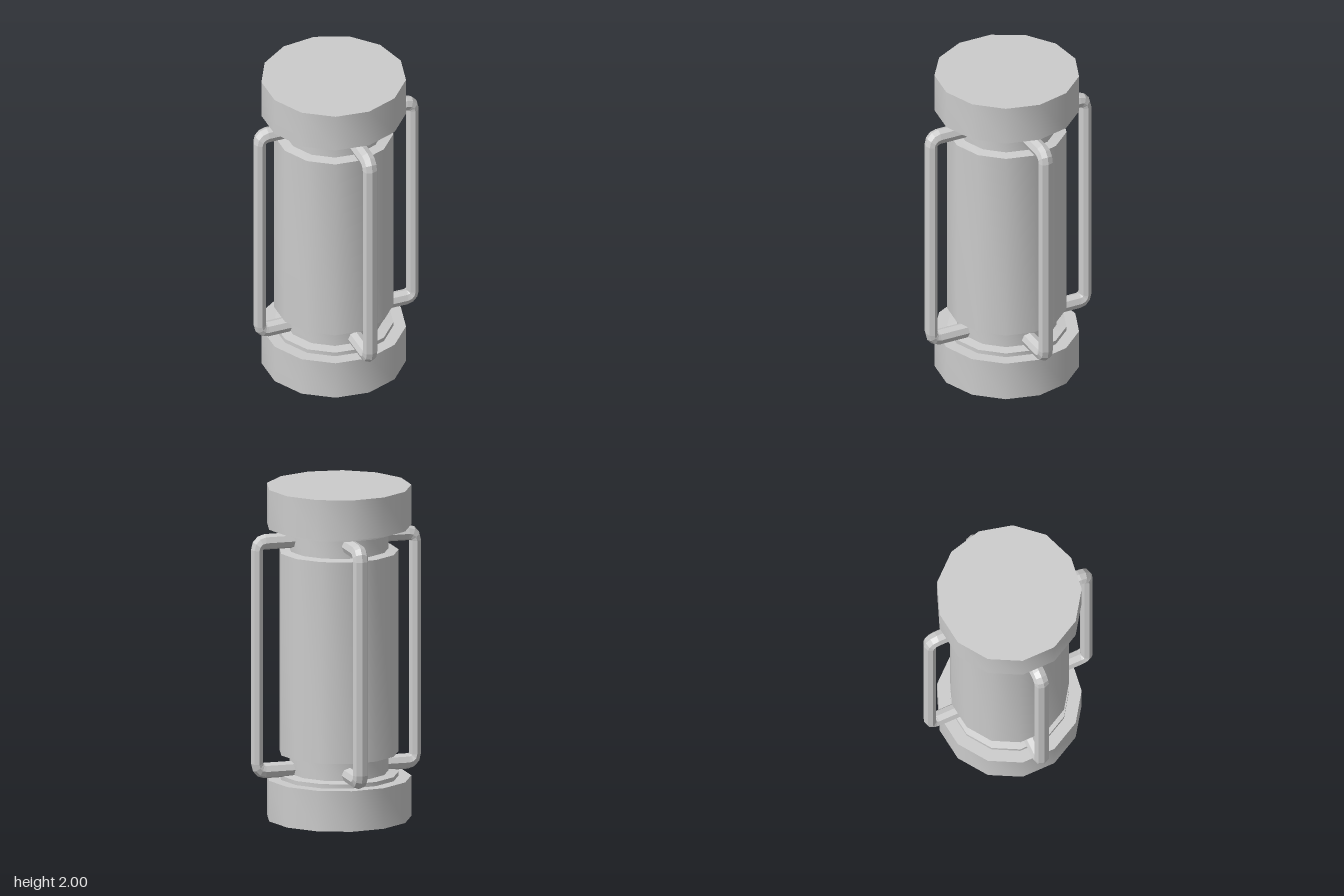
import * as THREE from 'three';
import { toCreasedNormals } from 'three/addons/utils/BufferGeometryUtils.js';

const SIDES = 13;
const material = new THREE.MeshStandardMaterial({ color: 0xcccccc });
const barMaterial = new THREE.MeshStandardMaterial({ color: 0xcccccc, flatShading: true });

// Thirteen-sided turned part from [radius, y] points, bottom to top
function turned(name, points) {
  const profile = points.map(([r, y]) => new THREE.Vector2(r, y));
  const geometry = new THREE.LatheGeometry(profile, SIDES, Math.PI / 2);
  const mesh = new THREE.Mesh(toCreasedNormals(geometry, 0.6), material);
  mesh.name = name;
  return mesh;
}

// Bracket-shaped octagonal bar that reaches out along +x and runs down the body
function guardBar(name, reach) {
  const top = 1.69, bottom = 0.31, inner = 0.24, bend = 0.045;
  const radius = 0.047, depth = 0.79, n = 8, steps = 3;
  const rings = [[inner, top, 0]];
  for (const [y, start] of [[top - bend, 0], [bottom + bend, Math.PI / 2]]) {
    for (let i = 0; i <= steps; i++) {
      const turn = start + (i / steps) * Math.PI / 2;
      rings.push([reach - bend + bend * Math.sin(turn), y + bend * Math.cos(turn), turn]);
    }
  }
  rings.push([inner, bottom, Math.PI]);

  const positions = [], index = [];
  rings.forEach(([x, y, turn], r) => {
    for (let j = 0; j < n; j++) {
      const a = (j / n) * Math.PI * 2;
      const out = radius * Math.cos(a);
      positions.push(x + out * Math.sin(turn) * depth, y + out * Math.cos(turn), radius * Math.sin(a));
      if (r < rings.length - 1) {
        const p = r * n + j, q = r * n + (j + 1) % n;
        index.push(p, q, p + n, q, q + n, p + n);
      }
    }
  });
  const geometry = new THREE.BufferGeometry();
  geometry.setAttribute('position', new THREE.Float32BufferAttribute(positions, 3));
  geometry.setIndex(index);
  geometry.computeVertexNormals();
  const mesh = new THREE.Mesh(geometry, barMaterial);
  mesh.name = name;
  return mesh;
}

export function createModel() {
  const model = new THREE.Group();
  model.name = 'canister';

  // Turned core: end caps, collars, necks and central drum
  const core = new THREE.Group();
  core.name = 'core';
  core.position.set(-0.02, 0, -0.004);
  core.add(
    turned('bottomCap', [[0, 0], [0.43, 0], [0.43, 0.245], [0, 0.245]]),
    turned('bottomCollar', [[0.355, 0.24], [0.355, 0.27], [0.28, 0.28]]),
    turned('bottomNeck', [[0.295, 0.26], [0.295, 0.4]]),
    turned('drum', [[0.28, 0.382], [0.355, 0.393], [0.355, 1.61], [0.28, 1.621]]),
    turned('topNeck', [[0.295, 1.6], [0.295, 1.74]]),
    turned('topCollar', [[0.28, 1.725], [0.355, 1.735], [0.355, 1.765]]),
    turned('topCap', [[0, 1.76], [0.43, 1.76], [0.43, 2], [0, 2]])
  );
  model.add(core);

  // Four guard bars, a quarter turn apart
  ['leftBar', 'backBar', 'rightBar', 'frontBar'].forEach((name, i) => {
    const bar = guardBar(name, i % 2 ? 0.508 : 0.488);
    bar.rotation.y = i * Math.PI / 2;
    if (i % 2) bar.position.x = 0.003;
    else bar.position.set(-0.003, 0, -0.006);
    model.add(bar);
  });
  return model;
}
